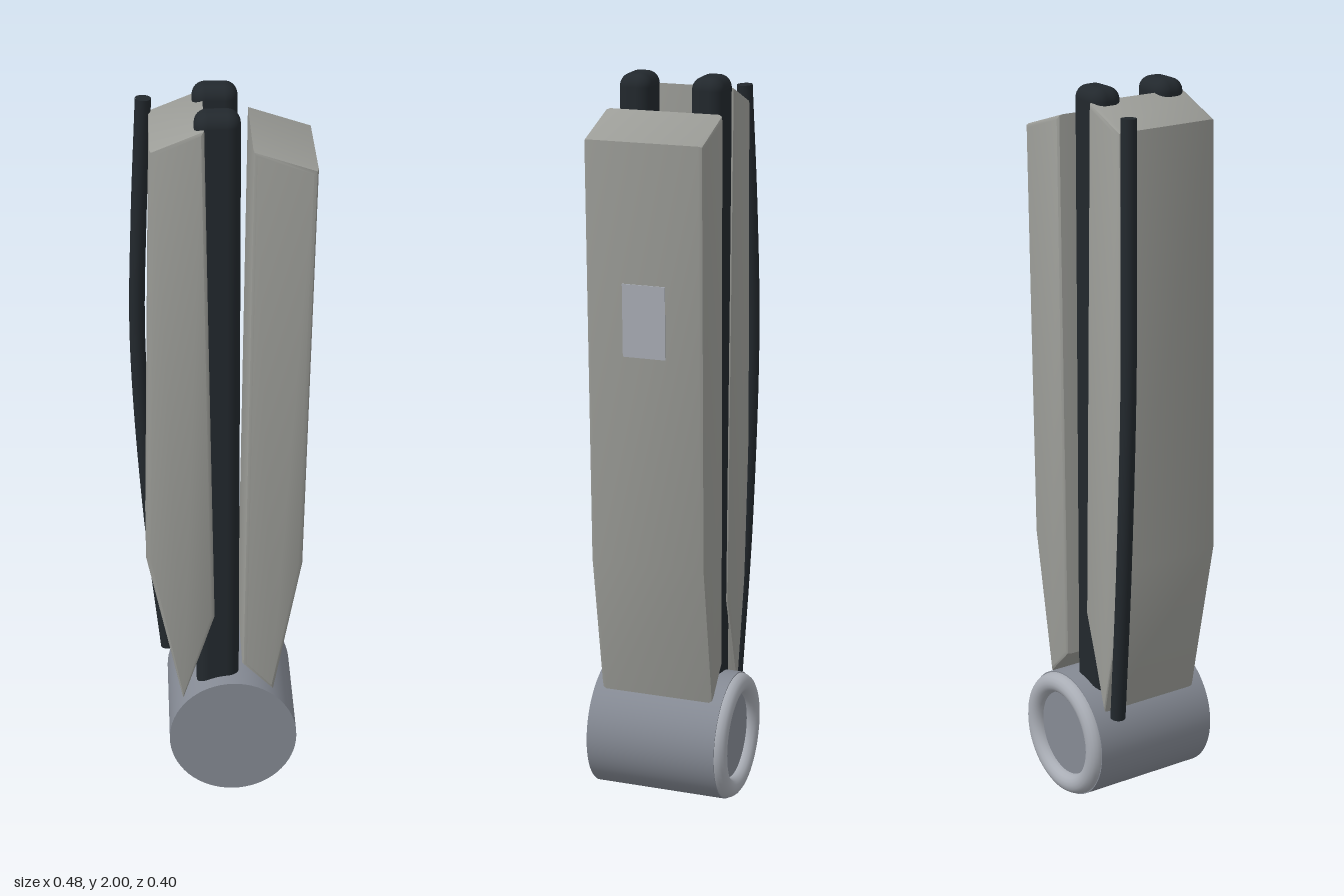
import * as THREE from 'three';
import { RoundedBoxGeometry } from 'three/addons/geometries/RoundedBoxGeometry.js';
import { toCreasedNormals } from 'three/addons/utils/BufferGeometryUtils.js';

const material = (color) => new THREE.MeshStandardMaterial({ color });

export function createModel() {
  const group = new THREE.Group();
  const shellGrey = material(0x9b9c97);
  const black = material(0x22282d);
  const steel = material(0x858a94);
  const paleSteel = material(0xa9adb5);

  const add = (name, geometry, mat, x = 0, y = 0, z = 0) => {
    const mesh = new THREE.Mesh(geometry, mat);
    mesh.name = name;
    mesh.position.set(x, y, z);
    group.add(mesh);
    return mesh;
  };

  // Side shells: a profile in x and y, extruded in z with a small bevel
  const addShell = (name, profile, zBack, zFront) => {
    const bevel = 0.012;
    const shape = new THREE.Shape(profile.map(([x, y]) => new THREE.Vector2(x, y)));
    const geometry = new THREE.ExtrudeGeometry(shape, {
      depth: zFront - zBack - 2 * bevel,
      bevelThickness: bevel, bevelSize: bevel, bevelOffset: -bevel, bevelSegments: 2,
    });
    add(name, toCreasedNormals(geometry, 0.5), shellGrey, 0, 0, zBack + bevel);
  };
  addShell('rightShell', [
    [-0.11, 0.28], [-0.02, 0.55], [-0.045, 1.967], [-0.182, 1.912], [-0.207, 0.74],
  ], -0.138, 0.162);
  addShell('leftShell', [
    [0.14, 0.315], [0.215, 0.72], [0.238, 1.862], [0.075, 1.915], [0.054, 0.4],
  ], -0.148, 0.174);

  // Plate set in the outer face of the left shell, tilted to follow it
  const plate = add('sidePlate', new THREE.BoxGeometry(0.012, 0.195, 0.117), paleSteel, 0.2255, 1.395, 0.014);
  plate.rotation.z = -0.02;

  // Central posts
  for (const [name, z] of [['frontPost', 0.111], ['backPost', -0.087]]) {
    add(name, new RoundedBoxGeometry(0.117, 1.72, 0.088, 5, 0.034), black, -0.0125, 1.14, z);
  }

  // Bowed rod behind the right shell, with closed ends
  const path = new THREE.CatmullRomCurve3([
    new THREE.Vector3(-0.147, 0.28, -0.118),
    new THREE.Vector3(-0.192, 0.72, -0.13),
    new THREE.Vector3(-0.22, 1.25, -0.135),
    new THREE.Vector3(-0.212, 1.6, -0.129),
    new THREE.Vector3(-0.195, 1.95, -0.117),
  ]);
  const rodRadius = 0.021;
  add('bowedRod', new THREE.TubeGeometry(path, 40, rodRadius, 16), black);
  for (const [name, t, sign] of [['rodBottomCap', 0, -1], ['rodTopCap', 1, 1]]) {
    const cap = add(name, new THREE.CircleGeometry(rodRadius, 16), black);
    cap.position.copy(path.getPoint(t));
    cap.quaternion.setFromUnitVectors(
      new THREE.Vector3(0, 0, 1), path.getTangent(t).multiplyScalar(sign));
  }

  // Pivot barrel and the ring on its back end
  const barrel = new THREE.CylinderGeometry(0.177, 0.177, 0.369, 64).rotateX(Math.PI / 2);
  add('pivotBarrel', barrel, steel, 0.028, 0.177, 0.0125);
  add('pivotRing', new THREE.TorusGeometry(0.146, 0.028, 16, 64), paleSteel, 0.028, 0.177, -0.172);

  return group;
}
